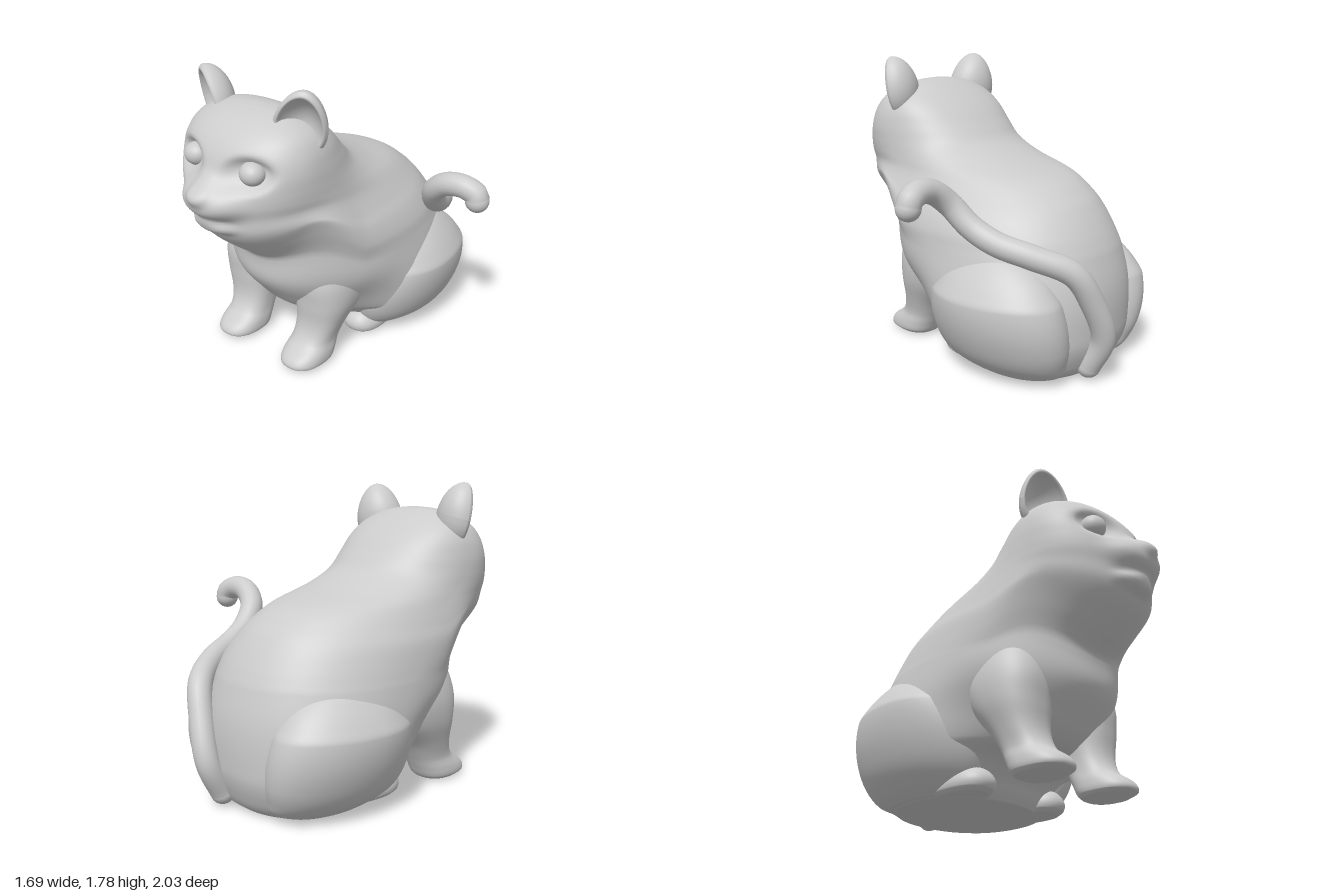
import * as THREE from 'three';

const CX = -0.2; // the head's plane of symmetry
const { smoothstep } = THREE.MathUtils;
const material = new THREE.MeshStandardMaterial({ color: 0xcccccc, side: THREE.DoubleSide });

function add(parent, name, geometry, position = [0, 0, 0], scale = [1, 1, 1], rotation = [0, 0, 0]) {
  const mesh = new THREE.Mesh(geometry, material);
  mesh.name = name;
  mesh.position.set(...position);
  mesh.scale.set(...scale);
  mesh.rotation.set(...rotation);
  parent.add(mesh);
  return mesh;
}

// Smooth (Hermite) interpolation between table rows, with slopes measured over height
function sampleRows(rows, t) {
  const i = Math.min(Math.floor(t), rows.length - 2), f = t - i;
  const [a, b, d, e] = [-1, 0, 1, 2].map(k => rows[Math.max(0, Math.min(rows.length - 1, i + k))]);
  const h = d[0] - b[0], f2 = f * f, f3 = f2 * f;
  return b.map((v, c) => {
    const m0 = (d[c] - a[c]) / (d[0] - a[0]) * h, m1 = (e[c] - v) / (e[0] - b[0]) * h;
    return v + (d[c] - v) * (3 * f2 - 2 * f3) + m0 * (f3 - 2 * f2 + f) + m1 * (f3 - f2);
  });
}

// Stack of level superellipse rings; row = [y, half width, front z, back z, widest z, centre x]
function loft(rows, { segments = 64, steps = 6, power = 2, shape = null } = {}) {
  const positions = [], index = [];
  const rings = [];
  const count = (rows.length - 1) * steps;
  for (let i = 0; i <= count; i++) rings.push(sampleRows(rows, i / steps));
  const cap = r => [r[0], 0, r[4], r[4], r[4], r[5]];
  rings.unshift(cap(rings[0]));
  rings.push(cap(rings[rings.length - 1]));
  const p = new THREE.Vector3();
  const bend = v => Math.sign(v) * Math.abs(v) ** (2 / power);
  rings.forEach(([y, w, front, back, mid, cx], i) => {
    for (let j = 0; j < segments; j++) {
      const a = j / segments * Math.PI * 2, s = Math.sin(a);
      p.set(cx + w * bend(Math.cos(a)), y, mid + bend(s) * (s > 0 ? front - mid : mid - back));
      if (shape) shape(p);
      positions.push(p.x, p.y, p.z);
      if (i === rings.length - 1) continue;
      const k = i * segments + j, n = i * segments + (j + 1) % segments;
      index.push(k, k + segments, n, n, k + segments, n + segments);
    }
  });
  const g = new THREE.BufferGeometry();
  g.setAttribute('position', new THREE.Float32BufferAttribute(positions, 3));
  g.setIndex(index);
  g.computeVertexNormals();
  return g;
}

// Soft-edged oval mask centred on (x, y)
const oval = (x, y, rx, ry) => Math.exp(-(((x / rx) ** 2 + (y / ry) ** 2) ** 2));

// Narrows the belly, curves the chin and chest lines, then models the face
function sculpt(p) {
  p.x *= 1 - 0.24 * smoothstep(p.z, -0.15, 0.3) * (1 - smoothstep(p.y, 0.2, 0.68));
  p.y += smoothstep(p.z, 0.22, 0.62) * 0.9 * p.x * p.x * Math.exp(-(((p.y - 0.8) / 0.25) ** 2));
  if (p.z < 0.5) return;
  p.z -= 0.07 * oval(Math.abs(p.x) - 0.215, p.y - 1.36, 0.125, 0.08); // eye sockets
  p.z += 0.085 * oval(p.x, p.y - 1.19, 0.2, 0.1);                     // muzzle
  p.z += 0.035 * oval(p.x, p.y - 1.265, 0.075, 0.075);                // nose
  p.z += 0.045 * oval(p.x, p.y - 1.045, 0.15, 0.045);                 // lower lip
}

// Ear: a ball whose front is pushed in to a cup with a rounded rim
function earGeometry() {
  const g = new THREE.SphereGeometry(1, 40, 40).rotateX(Math.PI / 2);
  const pos = g.attributes.position;
  for (let i = 0; i < pos.count; i++) {
    const x = pos.getX(i), y = pos.getY(i), z = pos.getZ(i), r = Math.hypot(x, y);
    let depth = z;
    if (z > 0) depth = r > 0.76 ? 0.16 * Math.sin(Math.PI * (1 - r) / 0.24) : -0.5 * (1 - (r / 0.76) ** 2);
    pos.setXYZ(i, x * (1 - 0.2 * y), y, depth);
  }
  g.computeVertexNormals();
  return g;
}

export function createModel() {
  const model = new THREE.Group();
  model.name = 'cat';
  const ball = new THREE.SphereGeometry(1, 40, 28);

  // Torso, neck and head in one skin
  const bodyRows = [
    [0.00, 0.40, 0.00, -0.77, -0.38, 0.04],
    [0.04, 0.46, 0.03, -0.82, -0.38, 0.04],
    [0.12, 0.53, 0.08, -0.86, -0.37, 0.04],
    [0.20, 0.57, 0.18, -0.885, -0.36, 0.04],
    [0.27, 0.59, 0.36, -0.893, -0.33, 0.04],
    [0.42, 0.605, 0.50, -0.895, -0.27, 0.04],
    [0.55, 0.605, 0.585, -0.88, -0.20, 0.035],
    [0.70, 0.59, 0.60, -0.84, -0.12, 0.03],
    [0.74, 0.585, 0.62, -0.825, -0.09, 0.03],
    [0.82, 0.575, 0.72, -0.785, -0.03, 0.03],
    [0.92, 0.55, 0.83, -0.72, 0.06, 0.02],
    [1.00, 0.515, 0.885, -0.65, 0.16, 0.01],
    [1.10, 0.48, 0.90, -0.50, 0.30, 0],
    [1.18, 0.468, 0.91, -0.23, 0.40, 0],
    [1.26, 0.463, 0.90, -0.04, 0.46, 0],
    [1.36, 0.455, 0.875, 0.065, 0.50, 0],
    [1.46, 0.43, 0.83, 0.16, 0.50, 0],
    [1.54, 0.375, 0.76, 0.26, 0.50, 0],
    [1.60, 0.27, 0.66, 0.36, 0.50, 0],
    [1.63, 0.15, 0.57, 0.43, 0.50, 0],
    [1.64, 0.03, 0.52, 0.48, 0.50, 0],
  ];
  add(model, 'bodyAndHead', loft(bodyRows, { segments: 192, power: 2.2, shape: sculpt }), [CX, 0, 0]);

  const ear = earGeometry();
  const leg = loft([
    [0.01, 0.115, 0.57, 0.31, 0.44, 0],
    [0.03, 0.135, 0.625, 0.29, 0.44, 0],
    [0.08, 0.138, 0.605, 0.265, 0.42, 0],
    [0.15, 0.130, 0.51, 0.23, 0.37, 0],
    [0.25, 0.145, 0.465, 0.17, 0.33, 0.01],
    [0.40, 0.185, 0.465, 0.04, 0.26, 0.02],
    [0.55, 0.20, 0.47, -0.02, 0.20, 0.02],
    [0.70, 0.19, 0.43, -0.02, 0.18, 0],
    [0.85, 0.12, 0.34, 0.04, 0.18, 0],
  ], { power: 2.4 });

  // Thigh: leans outward up to a soft ridge, then slopes back into the hip
  const thigh = loft([
    [0.01, 0.16, -0.10, -0.70, -0.4, 0.27],
    [0.05, 0.20, -0.03, -0.78, -0.4, 0.29],
    [0.12, 0.24, 0.015, -0.82, -0.39, 0.33],
    [0.22, 0.27, 0.045, -0.85, -0.38, 0.36],
    [0.35, 0.285, 0.05, -0.855, -0.37, 0.39],
    [0.48, 0.28, 0.02, -0.83, -0.35, 0.41],
    [0.53, 0.26, -0.01, -0.80, -0.35, 0.41],
    [0.62, 0.20, -0.07, -0.72, -0.36, 0.41],
    [0.70, 0.125, -0.17, -0.60, -0.38, 0.41],
    [0.74, 0.06, -0.28, -0.49, -0.39, 0.41],
    [0.75, 0.02, -0.35, -0.42, -0.39, 0.41],
  ]);
  const paw = loft([
    [0.005, 0.10, 0.04, -0.35, -0.1, 0],
    [0.03, 0.125, 0.075, -0.38, -0.1, 0],
    [0.08, 0.125, 0.08, -0.38, -0.1, 0],
    [0.13, 0.095, 0.04, -0.35, -0.12, 0],
    [0.16, 0.04, -0.03, -0.25, -0.13, 0],
  ], { power: 2.3 });

  // Mirrored parts
  for (const [side, s] of [['left', 1], ['right', -1]]) {
    add(model, side + 'Eye', ball, [CX + s * 0.214, 1.36, 0.772], [0.073, 0.066, 0.07]);
    add(model, side + 'Ear', ear, [CX + s * 0.338, 1.59, 0.53], [0.148, 0.195, 0.13], [0.2, s * 0.45, -s * 0.27]);
    add(model, side + 'FrontLeg', leg, [CX + s * 0.272, 0, 0], [s, 1, 1]);
    add(model, side + 'Thigh', thigh, [CX + 0.045, 0, 0], [s, 1, 1]);
    add(model, side + 'HindPaw', paw, [CX + 0.03 + s * 0.29, 0, 0]);
  }

  // Tail winding up and round the left hip
  const path = new THREE.CatmullRomCurve3([
    [-0.05, 0.08, -0.84], [-0.05, 0.27, -0.93], [0.04, 0.5, -0.91], [0.14, 0.67, -0.85],
    [0.28, 0.76, -0.68], [0.37, 0.82, -0.5], [0.42, 0.9, -0.36], [0.48, 1.02, -0.26],
    [0.58, 1.1, -0.23], [0.69, 1.115, -0.235], [0.765, 1.08, -0.25], [0.775, 1.045, -0.25],
  ].map(p => new THREE.Vector3(...p)));
  const r = 0.07;
  add(model, 'tail', new THREE.TubeGeometry(path, 90, r, 20));
  add(model, 'tailRoot', ball, path.getPoint(0).toArray(), [r, r, r]);
  add(model, 'tailTip', ball, path.getPoint(1).toArray(), [r, r, r]);

  return model;
}
